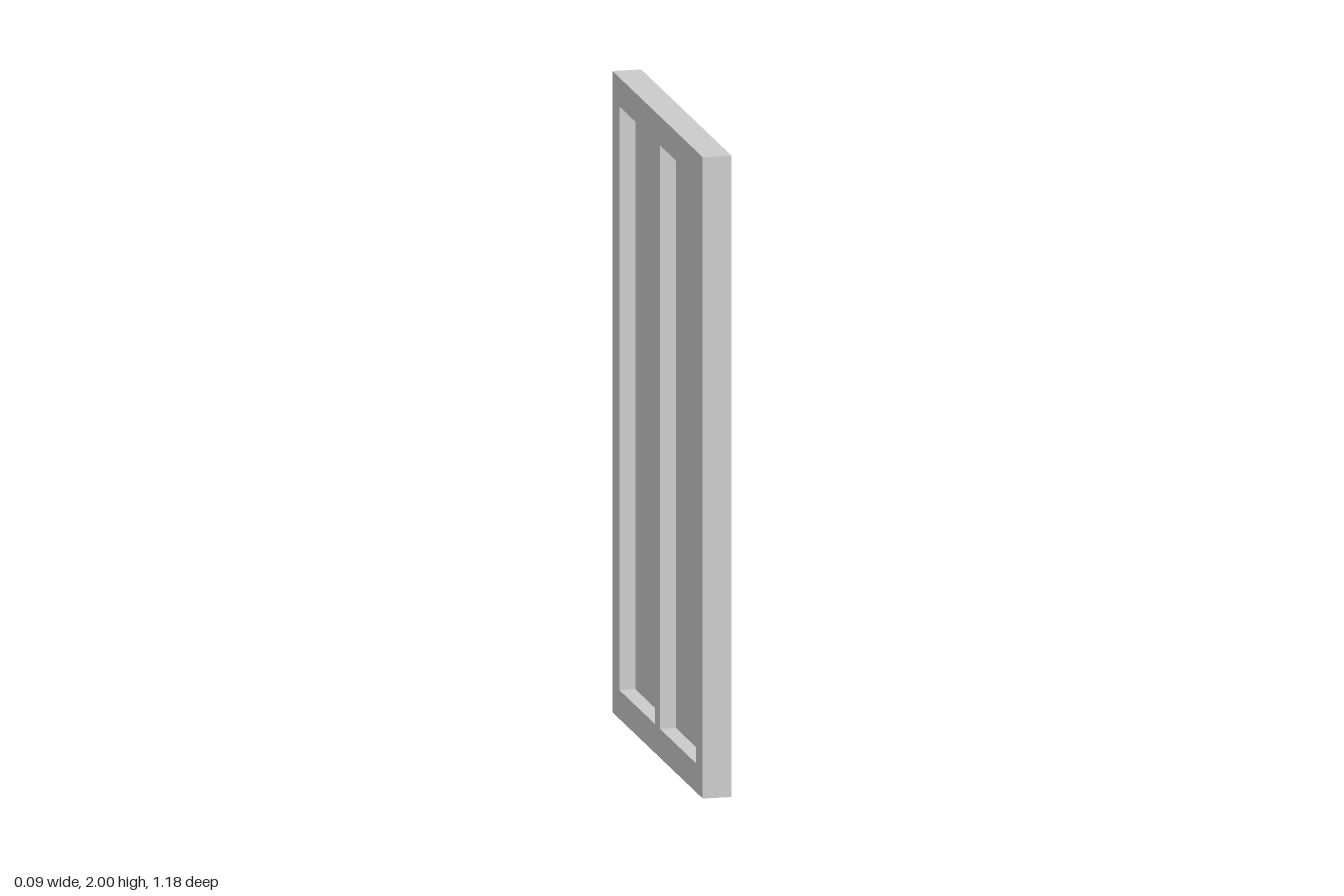
import * as THREE from 'three';

const H = 2, W = 1.184, D = 0.09;            // overall height, width (z), depth (x)
const RAIL = 0.09, GAP = 0.064, RECESS = 0.05; // border, centre stile, panel recess
const PANEL_W = (W - 2 * RAIL - GAP) / 2, PANEL_H = H - 2 * RAIL;
const PANEL_Z = (GAP + PANEL_W) / 2;

// Box sheet without its -x side, and optionally without its +x side
function openBox(depth, height, width, openBoth) {
  const geo = new THREE.BoxGeometry(depth, height, width);
  const index = Array.from(geo.index.array);
  geo.setIndex(openBoth ? index.slice(12) : [...index.slice(0, 6), ...index.slice(12)]);
  geo.clearGroups();
  return geo;
}

function rectangle(target, cx, cy, w, h) {
  target.moveTo(cx - w / 2, cy - h / 2);
  target.lineTo(cx + w / 2, cy - h / 2);
  target.lineTo(cx + w / 2, cy + h / 2);
  target.lineTo(cx - w / 2, cy + h / 2);
  target.closePath();
  return target;
}

export function createModel() {
  const model = new THREE.Group();
  model.name = 'doublePanelDoor';
  const material = new THREE.MeshStandardMaterial({ color: 0xcccccc, side: THREE.DoubleSide });
  const add = (name, geometry, x, y, z) => {
    const mesh = new THREE.Mesh(geometry, material);
    mesh.name = name;
    mesh.position.set(x, y, z);
    model.add(mesh);
  };

  // Thin outer rim, open towards +x
  add('outerRim', openBox(D, H, W, true), 0, H / 2, 0);

  // Frame face with two openings, facing -x
  const face = rectangle(new THREE.Shape(), 0, 0, W, H);
  for (const side of [-1, 1]) {
    face.holes.push(rectangle(new THREE.Path(), side * PANEL_Z, 0, PANEL_W, PANEL_H));
  }
  add('frameFace', new THREE.ShapeGeometry(face).rotateY(-Math.PI / 2), -D / 2, H / 2, 0);

  // Recessed panels with their reveals
  for (const [name, side] of [['frontPanel', 1], ['backPanel', -1]]) {
    add(name, openBox(RECESS, PANEL_H, PANEL_W, false), -D / 2 + RECESS / 2, H / 2, side * PANEL_Z);
  }
  return model;
}
